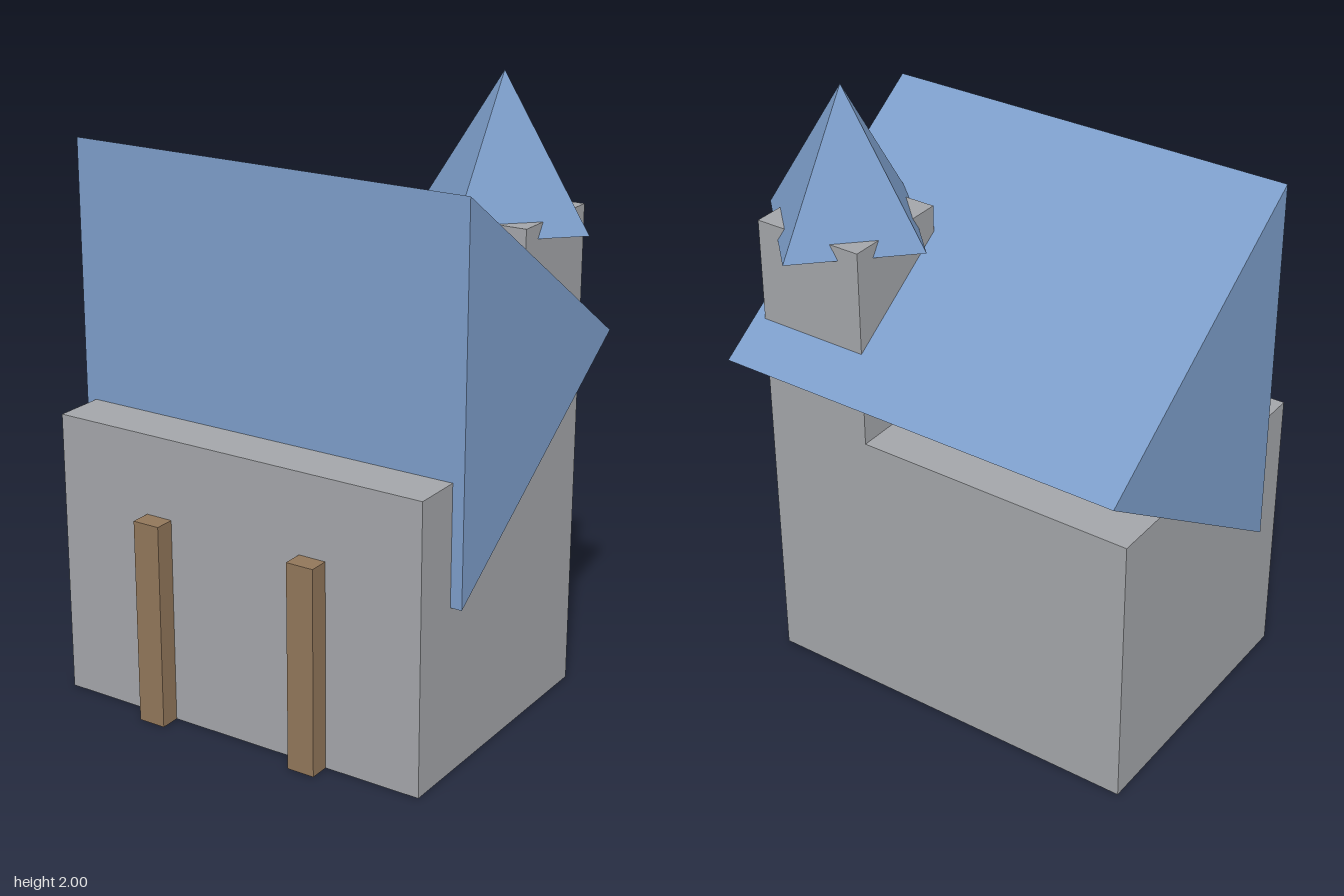
import * as THREE from 'three';

const material = (name, color) => {
  const m = new THREE.MeshStandardMaterial({ color });
  m.name = name;
  return m;
};

export function createModel() {
  const stone = material('grey stone', 0xa3a5a9);
  const slate = material('blue slate', 0x7c9dc9);
  const wood = material('brown wood', 0x91765a);

  const model = new THREE.Group();
  model.name = 'house';

  const add = (name, geometry, mat) => {
    const mesh = new THREE.Mesh(geometry, mat);
    mesh.name = name;
    model.add(mesh);
    return mesh;
  };
  // Box given by its limits on each axis
  const box = (name, [x0, x1], [y0, y1], [z0, z1], mat) =>
    add(name, new THREE.BoxGeometry(x1 - x0, y1 - y0, z1 - z0), mat)
      .position.set((x0 + x1) / 2, (y0 + y1) / 2, (z0 + z1) / 2);

  // Walls and corner tower
  box('walls', [-0.69, 0.61], [0, 0.932], [-0.427, 0.5], stone);
  box('tower', [0.24, 0.61], [0.932, 1.585], [-0.427, -0.06], stone);

  // Front posts
  for (const [name, x] of [['rightPost', -0.32], ['leftPost', 0.24]]) {
    box(name, [x - 0.046, x + 0.046], [0, 0.672], [0.5, 0.566], wood);
  }

  // Triangular roof prism: upright face to the front, ridge to the back
  const profile = new THREE.Shape([
    new THREE.Vector2(-0.335, 0.545),
    new THREE.Vector2(0.563, 1.157),
    new THREE.Vector2(-0.335, 1.768),
  ]);
  const prism = new THREE.ExtrudeGeometry(profile, { depth: 1.373, bevelEnabled: false });
  prism.rotateY(Math.PI / 2).translate(-0.725, 0, 0);
  add('roof', prism, slate);

  // Four-sided spire, turned corner-on to the tower
  const spire = new THREE.ConeGeometry(0.296, 0.46, 4).toNonIndexed();
  spire.computeVertexNormals();
  add('spire', spire, slate).position.set(0.425, 1.77, -0.244);

  return model;
}
